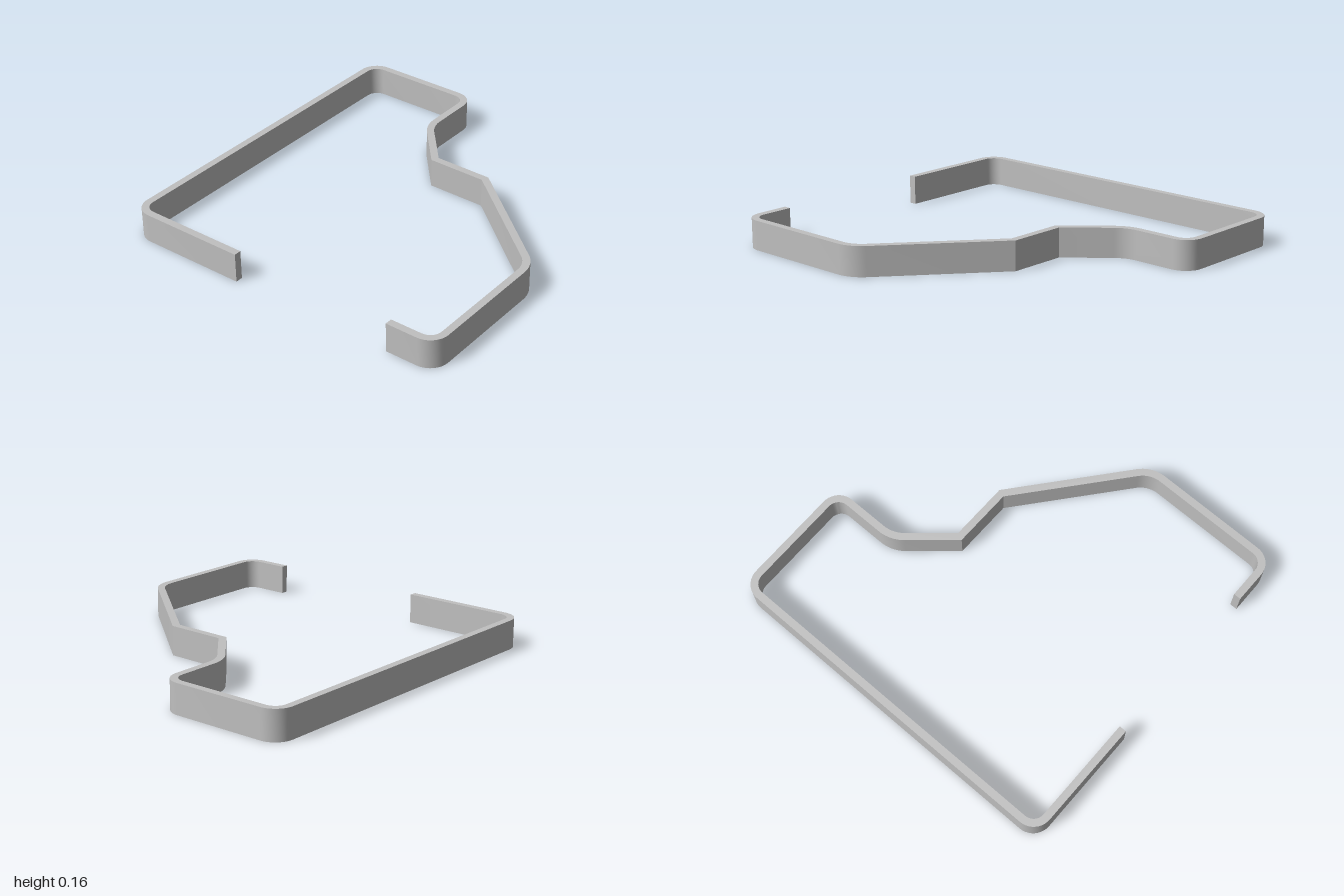
import * as THREE from 'three';
import { toCreasedNormals } from 'three/addons/utils/BufferGeometryUtils.js';

const HEIGHT = 0.16;
const HALF = 0.02; // half the wall thickness

// Centre line of the wall: x, z, corner radius (0 = sharp)
const PATH = [
  [-0.98, -0.26, 0],
  [-0.98, -0.936, 0.085],
  [0.98, -0.936, 0.085],
  [0.98, -0.251, 0.085],
  [0.597, -0.251, 0.19],
  [0.325, -0.015, 0],
  [0.321, 0.312, 0],
  [-0.197, 0.932, 0.16],
  [-0.98, 0.932, 0.085],
  [-0.98, 0.67, 0],
];

// Replaces each rounded corner by points on a circular fillet
function roundedPath(path, steps = 10) {
  const p = path.map(([x, z]) => new THREE.Vector2(x, z));
  const out = [];
  path.forEach(([, , r], i) => {
    if (!r) return out.push(p[i]);
    const a = p[i - 1].clone().sub(p[i]).normalize();
    const b = p[i + 1].clone().sub(p[i]).normalize();
    const half = Math.acos(a.dot(b)) / 2;
    const centre = a.clone().add(b).normalize().multiplyScalar(r / Math.sin(half)).add(p[i]);
    const reach = r / Math.tan(half);
    const from = a.multiplyScalar(reach).add(p[i]).sub(centre);
    const sweep = Math.sign(from.cross(b.multiplyScalar(reach).add(p[i]).sub(centre))) * (Math.PI - 2 * half);
    for (let k = 0; k <= steps; k++) {
      out.push(from.clone().rotateAround(new THREE.Vector2(), sweep * k / steps).add(centre));
    }
  });
  return out;
}

// Shifts the path sideways, with mitred corners
function offsetPath(points, distance) {
  return points.map((p, i) => {
    const before = p.clone().sub(points[i - 1] ?? p);
    const after = (points[i + 1] ?? p).clone().sub(p);
    const d0 = (i > 0 ? before : after).clone().normalize();
    const d1 = (i < points.length - 1 ? after : before).clone().normalize();
    const n0 = new THREE.Vector2(-d0.y, d0.x);
    const miter = n0.clone().add(new THREE.Vector2(-d1.y, d1.x)).normalize();
    return miter.multiplyScalar(distance / miter.dot(n0)).add(p);
  });
}

export function createModel() {
  const group = new THREE.Group();
  group.name = 'openFrame';
  const grey = new THREE.MeshStandardMaterial({ color: 0xc0c0c0 });
  grey.name = 'grey';

  // Plan outline of the wall, extruded to its height
  const line = roundedPath(PATH);
  const outline = [...offsetPath(line, HALF), ...offsetPath(line, -HALF).reverse()];
  const solid = new THREE.ExtrudeGeometry(new THREE.Shape(outline), { depth: HEIGHT, bevelEnabled: false });
  solid.rotateX(Math.PI / 2).translate(0, HEIGHT, 0);

  const wall = new THREE.Mesh(toCreasedNormals(solid, 0.5), grey);
  wall.name = 'wallBand';
  group.add(wall);
  return group;
}
